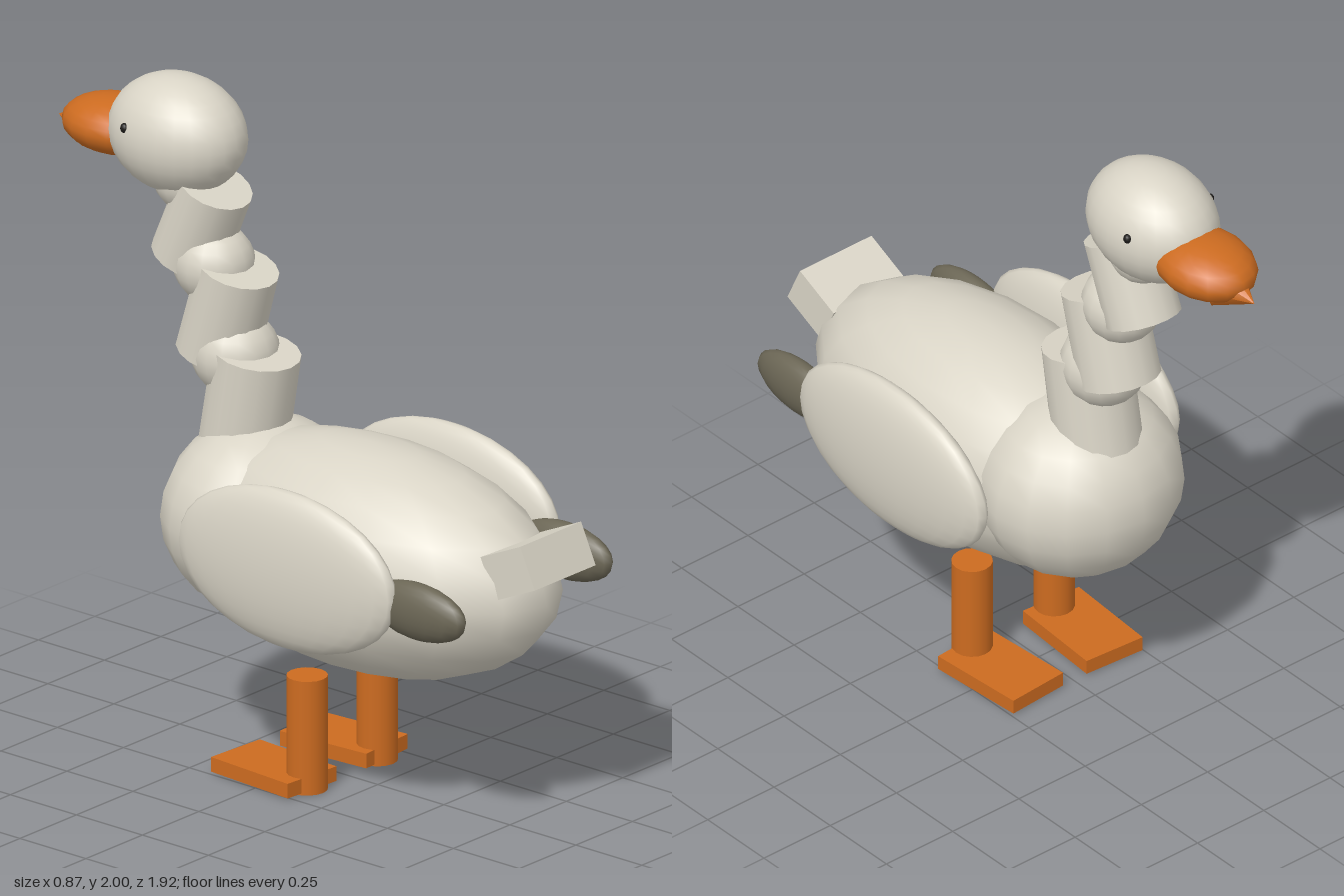
import * as THREE from 'three';

const material = (name, color) => {
  const m = new THREE.MeshStandardMaterial({ color });
  m.name = name;
  return m;
};

export function createModel() {
  const plumage = material('plumage', 0xd9d4c6);
  const darkFeather = material('dark feather', 0x6b6655);
  const orange = material('orange', 0xcc6b20);
  const black = material('eye black', 0x1c1a18);

  const root = new THREE.Group();
  root.name = 'goose';

  const add = (name, geometry, mat, x, y, z) => {
    const mesh = new THREE.Mesh(geometry, mat);
    mesh.name = name;
    mesh.position.set(x, y, z);
    root.add(mesh);
    return mesh;
  };
  // Ellipsoid given by its centre and three radii
  const ellipsoid = (name, mat, [x, y, z], [rx, ry, rz], w = 16, h = 12) =>
    add(name, new THREE.SphereGeometry(1, w, h).scale(rx, ry, rz), mat, x, y, z);

  // Body and chest
  ellipsoid('body', plumage, [0, 0.708, 0.22], [0.342, 0.343, 0.67]);
  ellipsoid('chest', plumage, [0, 0.735, -0.18], [0.315, 0.29, 0.29]);

  // Tail block, tipped up at the back
  add('tail', new THREE.BoxGeometry(0.27, 0.133, 0.165), plumage, 0, 0.839, 0.857)
    .rotation.x = -0.43;

  // Neck: backward-tilted segments with a round joint above each
  const neck = [
    { y: 1.06, z: -0.236, top: 0.13, bottom: 0.132, length: 0.33, tilt: 0.17, joint: [1.2, -0.29, 0.13] },
    { y: 1.325, z: -0.317, top: 0.12, bottom: 0.124, length: 0.29, tilt: 0.28, joint: [1.455, -0.37, 0.12] },
    { y: 1.574, z: -0.415, top: 0.112, bottom: 0.114, length: 0.26, tilt: 0.4, joint: [1.7, -0.465, 0.106] },
  ];
  for (const n of neck) {
    add('neckSegment', new THREE.CylinderGeometry(n.top, n.bottom, n.length, 16), plumage, 0, n.y, n.z)
      .rotation.x = n.tilt;
    const [y, z, r] = n.joint;
    ellipsoid('neckJoint', plumage, [0, y, z], [r, r, r]);
  }

  // Head, beak and the small cone at the beak tip
  ellipsoid('head', plumage, [0, 1.822, -0.507], [0.172, 0.178, 0.223], 24, 16);
  ellipsoid('beak', orange, [0, 1.793, -0.74], [0.135, 0.084, 0.175], 16, 12);
  add('beakTip', new THREE.ConeGeometry(0.073, 0.13, 8), orange, 0, 1.767, -0.893)
    .rotation.x = -Math.PI / 2;

  // Mirrored parts
  for (const s of [1, -1]) {
    const side = s > 0 ? 'left' : 'right';
    ellipsoid(side + 'Eye', black, [s * 0.155, 1.862, -0.577], [0.013, 0.015, 0.013], 10, 8);
    ellipsoid(side + 'Wing', plumage, [s * 0.362, 0.76, 0.218], [0.073, 0.242, 0.41], 24, 16);
    ellipsoid(side + 'WingTip', darkFeather, [s * 0.325, 0.735, 0.68], [0.05, 0.087, 0.18]);
    add(side + 'Leg', new THREE.CylinderGeometry(0.06, 0.06, 0.35, 16), orange, s * 0.155, 0.175, 0.115);
    add(side + 'Foot', new THREE.BoxGeometry(0.2, 0.045, 0.31), orange, s * 0.155, 0.028, -0.012)
      .rotation.y = s * 0.07;
  }

  return root;
}
